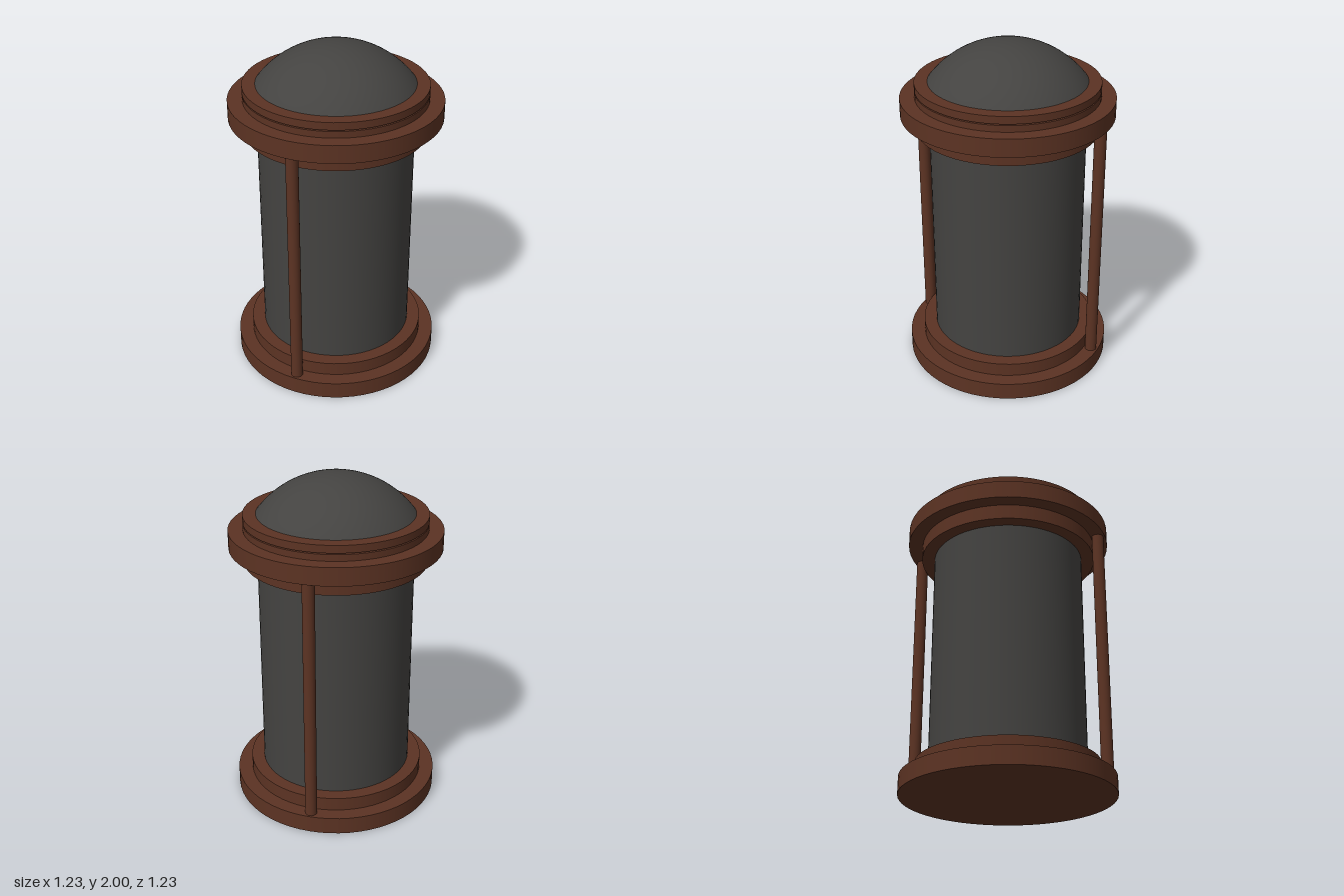
import * as THREE from 'three';

export function createModel() {
  const model = new THREE.Group();
  const brown = new THREE.MeshStandardMaterial({ color: 0x5c3323 });
  const dark = new THREE.MeshStandardMaterial({ color: 0x444341 });

  // Upright cylinder spanning y0..y1
  function disc(name, radius, y0, y1, material, z = 0, sides = 64) {
    const mesh = new THREE.Mesh(new THREE.CylinderGeometry(radius, radius, y1 - y0, sides), material);
    mesh.name = name;
    mesh.position.set(0, (y0 + y1) / 2, z);
    model.add(mesh);
  }

  // Stepped base
  disc('basePlate', 0.615, 0, 0.105, brown);
  disc('baseStep', 0.53, 0.105, 0.187, brown);

  // Main drum
  disc('drum', 0.453, 0.187, 1.493, dark);

  // Stepped upper collar, with a thin gap under the cap ring
  disc('lowerCollar', 0.53, 1.493, 1.582, brown);
  disc('upperPlate', 0.615, 1.582, 1.688, brown);
  disc('upperCollar', 0.53, 1.688, 1.726, brown);
  disc('capRing', 0.53, 1.733, 1.777, brown);

  // Shallow dome, a cap of a larger sphere
  const rim = 0.455, rise = 2 - 1.777;
  const R = (rim * rim + rise * rise) / (2 * rise);
  const dome = new THREE.Mesh(
    new THREE.SphereGeometry(R, 64, 16, 0, Math.PI * 2, 0, Math.asin(rim / R)), dark);
  dome.name = 'dome';
  dome.position.y = 2 - R;
  model.add(dome);

  // Front and back support rods
  for (const s of [1, -1]) {
    disc(s > 0 ? 'frontRod' : 'backRod', 0.035, 0.105, 1.582, brown, s * 0.57, 24);
  }

  return model;
}
